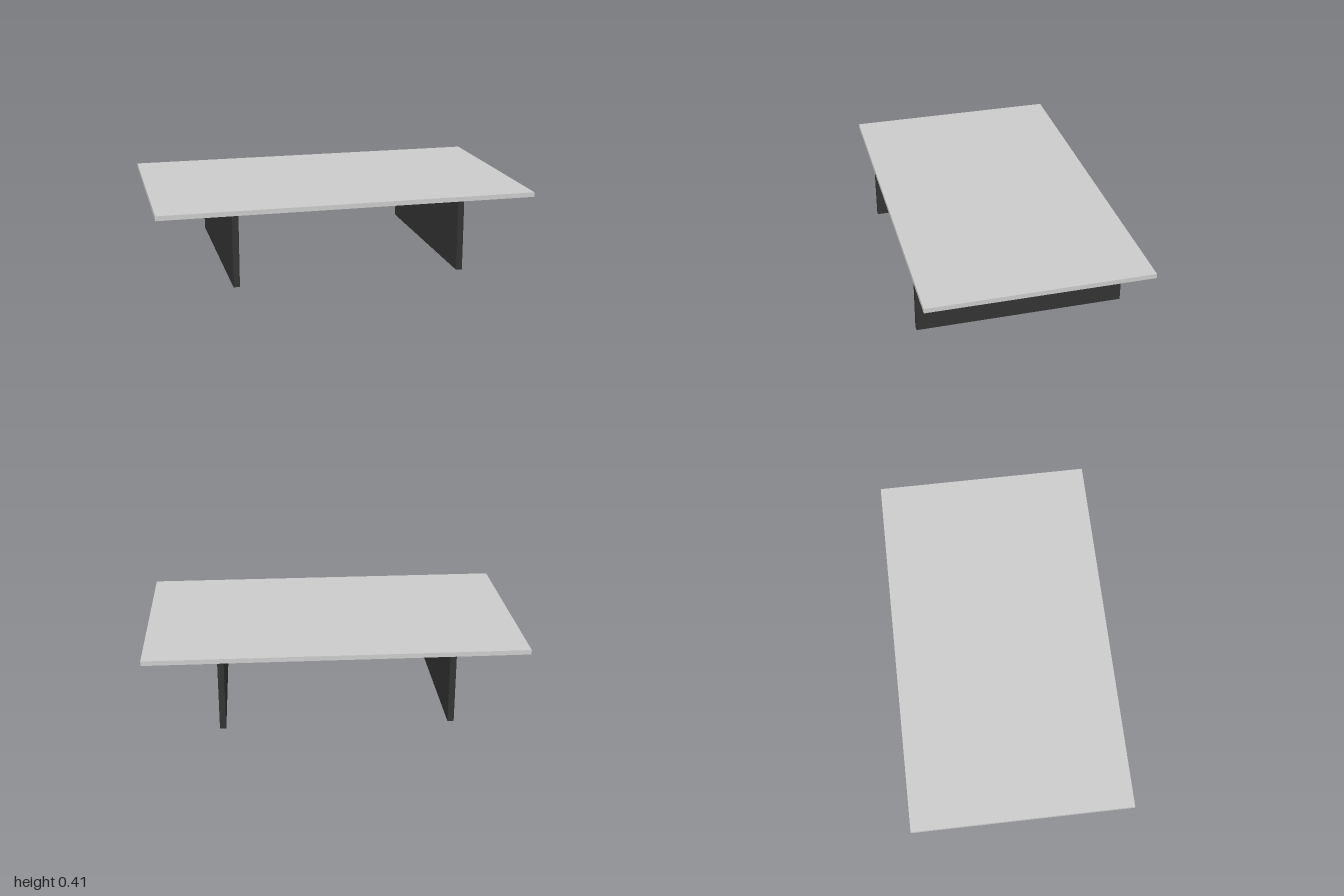
import * as THREE from 'three';

const HEIGHT = 0.41, TOP_THICKNESS = 0.025;
const LEG_HEIGHT = HEIGHT - TOP_THICKNESS;

export function createModel() {
  const table = new THREE.Group();
  table.name = 'table';

  const topMaterial = new THREE.MeshStandardMaterial({ color: 0xcccccc });
  const legMaterial = new THREE.MeshStandardMaterial({ color: 0x333333 });

  // Thin rectangular top
  const top = new THREE.Mesh(new THREE.BoxGeometry(2, TOP_THICKNESS, 1.17), topMaterial);
  top.name = 'tableTop';
  top.position.y = LEG_HEIGHT + TOP_THICKNESS / 2;
  table.add(top);

  // Two mirrored panel legs
  const legGeometry = new THREE.BoxGeometry(0.033, LEG_HEIGHT, 1.114);
  for (const side of [-1, 1]) {
    const leg = new THREE.Mesh(legGeometry, legMaterial);
    leg.name = side > 0 ? 'leftPanelLeg' : 'rightPanelLeg';
    leg.position.set(side * 0.6, LEG_HEIGHT / 2, 0);
    table.add(leg);
  }

  return table;
}
